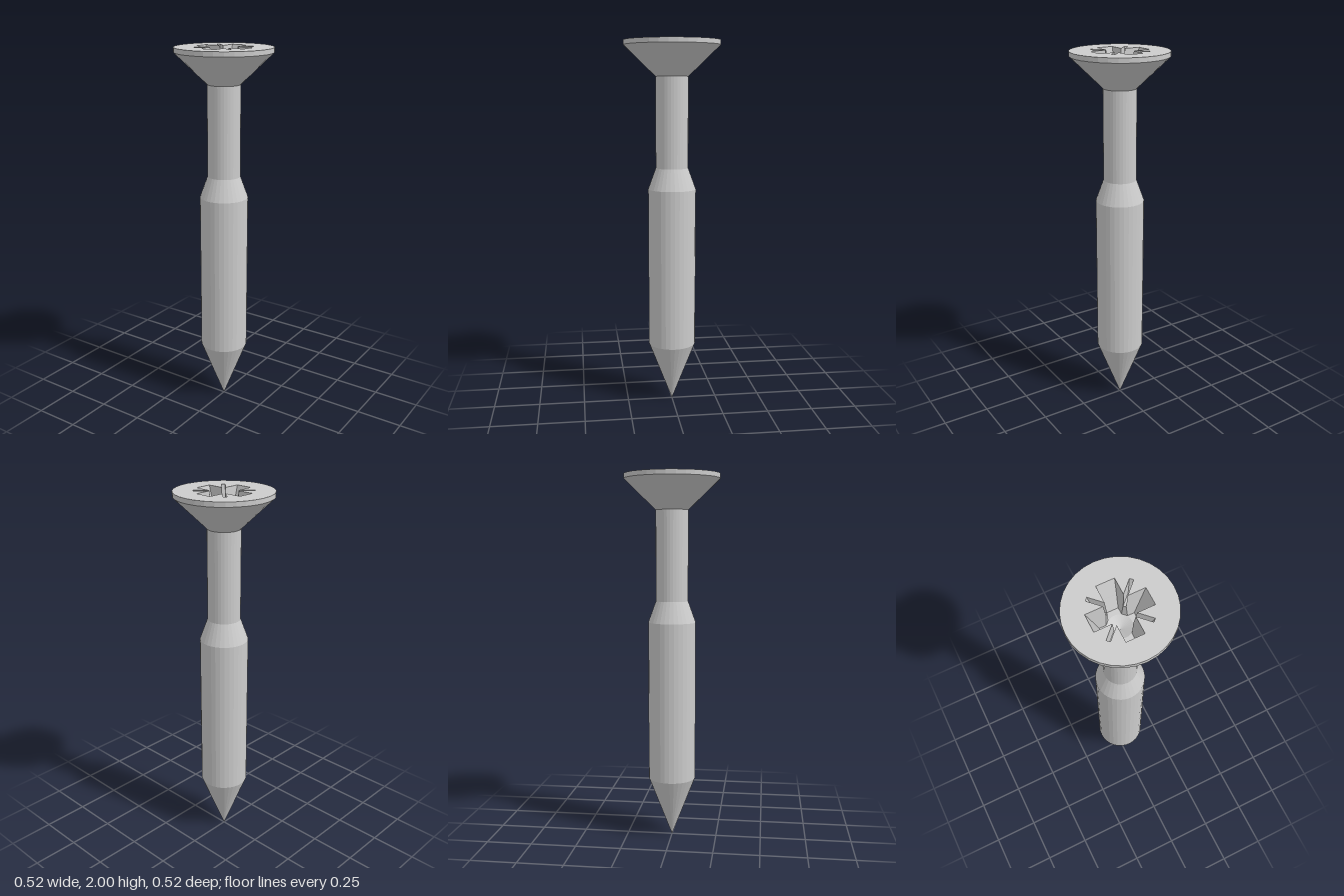
import * as THREE from 'three';

const SIDES = 32;
const material = new THREE.MeshStandardMaterial({ color: 0xcccccc, flatShading: true });

const v2 = (x, y) => new THREE.Vector2(x, y);

function circle(r) {
  return Array.from({ length: SIDES }, (_, i) => {
    const a = (i / SIDES) * Math.PI * 2;
    return v2(r * Math.cos(a), r * Math.sin(a));
  });
}

function part(name, geometry) {
  const mesh = new THREE.Mesh(geometry, material);
  mesh.name = name;
  return mesh;
}

function lathe(name, profile) {
  return part(name, new THREE.LatheGeometry(profile.map(([r, y]) => v2(r, y)), SIDES));
}

// Horizontal face with a hole, at height y
function plate(name, outline, hole, y) {
  const shape = new THREE.Shape(outline);
  shape.holes.push(new THREE.Path(hole));
  return part(name, new THREE.ShapeGeometry(shape).rotateX(-Math.PI / 2).translate(0, y, 0));
}

// Cross outline: arm length, half width w, corner cut q, and a diagonal slit
// reaching radius r with half width s (r = 0 closes the slit)
function crossOutline({ arm, w, q, r, s }) {
  const c = Math.SQRT1_2;
  const slit = r
    ? [[(r + s) * c, (r - s) * c], [(r - s) * c, (r + s) * c]]
    : [[w + q * 2 / 3, w + q / 3], [w + q / 3, w + q * 2 / 3]];
  const quarter = [[arm, w], [w + q, w], ...slit, [w, w + q], [w, arm]];
  const points = [];
  for (let k = 0; k < 4; k++) {
    for (const [x, y] of quarter) {
      points.push(v2(x, y).rotateAround(v2(0, 0), k * Math.PI / 2));
    }
  }
  return points;
}

// Inward facing walls joining the outlines from top to bottom
function recessWalls(levels) {
  const positions = [];
  for (let l = 0; l < levels.length - 1; l++) {
    const upper = crossOutline(levels[l]), lower = crossOutline(levels[l + 1]);
    for (let i = 0; i < upper.length; i++) {
      const j = (i + 1) % upper.length;
      const at = (p, level) => [p.x, level.y, -p.y];
      const a0 = at(lower[i], levels[l + 1]), a1 = at(lower[j], levels[l + 1]);
      const b0 = at(upper[i], levels[l]), b1 = at(upper[j], levels[l]);
      positions.push(...a1, ...a0, ...b0, ...a1, ...b0, ...b1);
    }
  }
  const geometry = new THREE.BufferGeometry();
  geometry.setAttribute('position', new THREE.Float32BufferAttribute(positions, 3));
  geometry.computeVertexNormals();
  return part('recessWalls', geometry);
}

export function createModel() {
  const group = new THREE.Group();
  group.name = 'screw';

  // Body, bottom to top
  group.add(
    lathe('tip', [[0, 0], [0.13, 0.335]]),
    lathe('threadCore', [[0.13, 0.335], [0.13, 1.21]]),
    lathe('shoulder', [[0.13, 1.21], [0.088, 1.325]]),
    lathe('shank', [[0.088, 1.325], [0.088, 1.812]]),
    lathe('countersunkHead', [[0.088, 1.812], [0.258, 1.975]]),
    lathe('headRim', [[0.258, 1.975], [0.258, 2]]),
  );

  // Cross recess with four diagonal slits, top to bottom
  const levels = [
    { y: 2, arm: 0.146, w: 0.045, q: 0.0136, r: 0.154, s: 0.0096 },
    { y: 1.912, arm: 0.115, w: 0.039, q: 0.0095, r: 0.129, s: 0.0065 },
    { y: 1.91, arm: 0.1145, w: 0.0388, q: 0.0105, r: 0 },
    { y: 1.83, arm: 0.087, w: 0.033, q: 0.02, r: 0 },
  ];
  group.add(
    plate('headTop', circle(0.258), crossOutline(levels[0]), 2),
    recessWalls(levels),
    plate('recessFloor', crossOutline(levels[3]), circle(0.06), 1.83),
    lathe('recessCone', [[0.06, 1.83], [0, 1.8]]),
  );
  return group;
}
